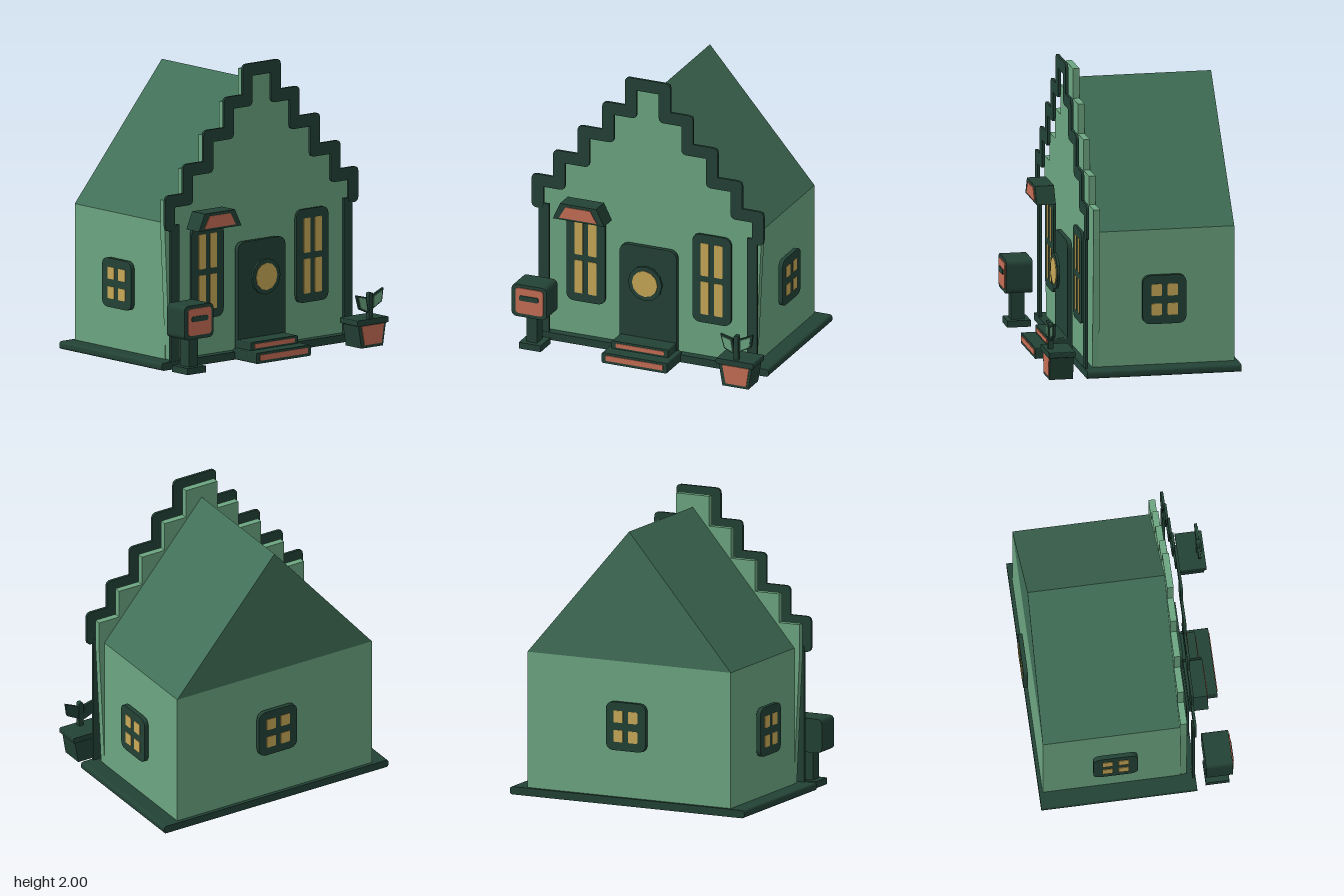
import * as THREE from 'three';

const flat = (name, color) => {
  const m = new THREE.MeshStandardMaterial({ color });
  m.name = name;
  return m;
};

// Closed outline whose corners are rounded by r (one number, or one per corner)
function outline(pts, r = 0) {
  const s = new THREE.Shape();
  const v = pts.map(p => new THREE.Vector2(p[0], p[1]));
  const toward = (a, b, d) => b.clone().sub(a).setLength(d).add(a);
  v.forEach((p, i) => {
    const rad = Array.isArray(r) ? r[i] : r;
    const a = rad ? toward(p, v[(i + v.length - 1) % v.length], rad) : p;
    if (i) s.lineTo(a.x, a.y); else s.moveTo(a.x, a.y);
    if (rad) {
      const b = toward(p, v[(i + 1) % v.length], rad);
      s.quadraticCurveTo(p.x, p.y, b.x, b.y);
    }
  });
  s.closePath();
  return s;
}

const rect = (x0, x1, y0, y1, r = 0) => outline([[x0, y0], [x1, y0], [x1, y1], [x0, y1]], r);

// Band of half width hw along a right-angled path, rounded on the outside of each turn
function band(path, hw, r) {
  const v = path.map(p => new THREE.Vector2(p[0], p[1]));
  const dirs = v.slice(1).map((p, i) => p.clone().sub(v[i]).normalize());
  const side = s => v.map((p, i) => {
    const a = dirs[i - 1], b = dirs[i];
    const q = p.clone();
    for (const d of [a, b]) if (d) q.add(new THREE.Vector2(-d.y, d.x).multiplyScalar(s * hw));
    const outer = !a || !b || (a.x * b.y - a.y * b.x) * s < 0;
    return { q: [q.x, q.y], r: outer ? r : 0 };
  });
  const loop = [...side(-1), ...side(1).reverse()];
  return outline(loop.map(c => c.q), loop.map(c => c.r));
}

export function createModel() {
  const model = new THREE.Group();
  model.name = 'steppedGableHouse';
  const wall = flat('wallGreen', 0x6ca681);
  const dark = flat('darkGreenTrim', 0x234236);
  const roofMat = flat('roofGreen', 0x427058);
  const clay = flat('terracotta', 0xc66e54);
  const glow = flat('windowYellow', 0xc9a958);

  // Extrude a front-facing shape from z0 to z1
  const add = (name, shape, z0, z1, mat, parent = model) => {
    const g = new THREE.ExtrudeGeometry(shape, { depth: z1 - z0, bevelEnabled: false, curveSegments: 6 });
    g.translate(0, 0, z0);
    const mesh = new THREE.Mesh(g, mat);
    mesh.name = name;
    parent.add(mesh);
    return mesh;
  };
  const group = name => {
    const g = new THREE.Group();
    g.name = name;
    model.add(g);
    return g;
  };
  const disc = r => new THREE.Shape().absarc(0, 0, r, 0, Math.PI * 2);

  // Base, body and roof
  add('base', rect(-0.888, 0.88, 0, 0.053, 0.022), -0.645, 0.408, dark);
  add('body', rect(-0.773, 0.76, 0.02, 0.98), -0.62, 0.31, wall);
  add('roof', outline([[-0.773, 0.98], [0.76, 0.98], [-0.006, 1.872]]), -0.62, 0.31, roofMat);

  // Stepped facade, and the trim that follows its edge
  const cx = -0.005;
  const steps = [[0.807, 1.144], [0.65, 1.34], [0.47, 1.549], [0.29, 1.753], [0.124, 1.957]];
  const left = [];
  steps.forEach(([w, top], i) => {
    left.push([-w, i ? steps[i - 1][1] : 0.944], [-w, top]);
  });
  const stair = [...left, ...left.map(([x, y]) => [-x, y]).reverse()].map(([x, y]) => [x + cx, y]);
  const facadePts = [[cx - 0.763, 0.05], ...stair, [cx + 0.763, 0.05]].reverse();
  add('facade', outline(facadePts), 0.305, 0.35, wall);
  add('gableTrim', band(stair, 0.043, 0.038), 0.39, 0.408, dark);
  for (const s of [-1, 1]) {
    const a = cx + s * 0.725, b = cx + s * 0.8;
    add('cornerPost', rect(Math.min(a, b), Math.max(a, b), 0.04, 0.98), 0.386, 0.404, dark);
  }

  // Windows: a solid frame with four glowing panes
  const addWindow = (name, w, h, r, depth, pane, pos, turn = 0) => {
    const g = group(name);
    add('frame', rect(-w / 2, w / 2, -h / 2, h / 2, r), 0, depth, dark, g);
    const [x0, x1, y0, y1] = pane;
    for (const sx of [-1, 1]) for (const sy of [-1, 1]) {
      const px = sx * (x0 + x1) / 2, py = sy * (y0 + y1) / 2;
      const pw = (x1 - x0) / 2, ph = (y1 - y0) / 2;
      add('pane', rect(px - pw, px + pw, py - ph, py + ph, 0.008), depth - 0.002, depth + 0.004, glow, g);
    }
    g.position.set(...pos);
    g.rotation.y = turn;
  };
  const tall = [0.02, 0.08, 0.021, 0.257];
  addWindow('frontWindowRight', 0.283, 0.636, 0.06, 0.018, tall, [-0.467, 0.626, 0.372]);
  addWindow('frontWindowLeft', 0.283, 0.636, 0.06, 0.018, tall, [0.456, 0.626, 0.372]);
  const small = [0.02, 0.09, 0.026, 0.107];
  addWindow('sideWindowLeft', 0.3, 0.334, 0.06, 0.03, small, [0.778, 0.508, -0.134], Math.PI / 2);
  addWindow('sideWindowRight', 0.3, 0.334, 0.06, 0.03, small, [-0.792, 0.508, -0.134], -Math.PI / 2);
  addWindow('backWindow', 0.3, 0.33, 0.06, 0.03, small, [cx, 0.545, -0.637], Math.PI);

  // Awning over the right front window
  add('awning', outline([[-0.652, 0.934], [-0.277, 0.934], [-0.335, 1.05], [-0.6, 1.05]]), 0.385, 0.515, dark);
  add('awningPanel', outline([[-0.605, 0.948], [-0.33, 0.948], [-0.377, 1.03], [-0.558, 1.03]]), 0.513, 0.52, clay);

  // Door with round window
  add('door', rect(-0.213, 0.206, 0.05, 0.79, [0, 0, 0.065, 0.065]), 0.372, 0.404, dark);
  const port = group('doorWindow');
  add('doorWindowRing', disc(0.124), 0.437, 0.455, dark, port);
  add('doorWindowGlass', disc(0.093), 0.453, 0.459, glow, port);
  port.children.forEach(m => m.position.set(cx, 0.544, 0));

  // Front steps with inset risers
  add('upperStep', rect(-0.212, 0.202, 0.066, 0.13, 0.012), 0.39, 0.536, dark);
  add('upperStepRiser', rect(-0.18, 0.172, 0.086, 0.115, 0.008), 0.534, 0.54, clay);
  add('lowerStep', rect(-0.243, 0.236, 0, 0.074, 0.012), 0.39, 0.63, dark);
  add('lowerStepRiser', rect(-0.212, 0.206, 0.02, 0.058, 0.008), 0.628, 0.635, clay);

  // Mailbox
  const mail = group('mailbox');
  add('mailboxFoot', rect(-0.85, -0.69, 0, 0.045), 0.47, 0.63, dark, mail);
  add('mailboxPost', rect(-0.808, -0.732, 0.04, 0.26), 0.505, 0.597, dark, mail);
  add('mailboxBody', rect(-0.895, -0.638, 0.241, 0.473, 0.04), 0.468, 0.648, dark, mail);
  add('mailboxFace', rect(-0.863, -0.662, 0.268, 0.45, 0.025), 0.646, 0.655, clay, mail);
  add('mailboxSlot', rect(-0.836, -0.694, 0.362, 0.398, 0.016), 0.653, 0.661, dark, mail);

  // Flowerpot and plant
  const pot = group('flowerpot');
  add('potBody', outline([[0.655, 0], [0.845, 0], [0.872, 0.16], [0.628, 0.16]]), 0.5, 0.661, dark, pot);
  add('potPanel', outline([[0.68, 0.02], [0.83, 0.02], [0.85, 0.15], [0.656, 0.15]]), 0.659, 0.666, clay, pot);
  add('potRim', rect(0.611, 0.886, 0.155, 0.195, 0.01), 0.492, 0.672, dark, pot);
  add('stem', rect(0.732, 0.766, 0.19, 0.37, [0, 0, 0.015, 0.015]), 0.618, 0.652, dark, pot);
  const leaves = [
    [[0.735, 0.23], [0.717, 0.34], [0.63, 0.362], [0.658, 0.262]],
    [[0.765, 0.25], [0.855, 0.297], [0.868, 0.388], [0.77, 0.345]],
  ];
  for (const leaf of leaves) {
    const mx = leaf.reduce((t, p) => t + p[0] / 4, 0), my = leaf.reduce((t, p) => t + p[1] / 4, 0);
    const inner = leaf.map(([x, y]) => [mx + (x - mx) * 0.72, my + (y - my) * 0.76]);
    add('leaf', outline(leaf), 0.622, 0.64, dark, pot);
    add('leafBlade', outline(inner), 0.638, 0.645, wall, pot);
  }

  return model;
}
